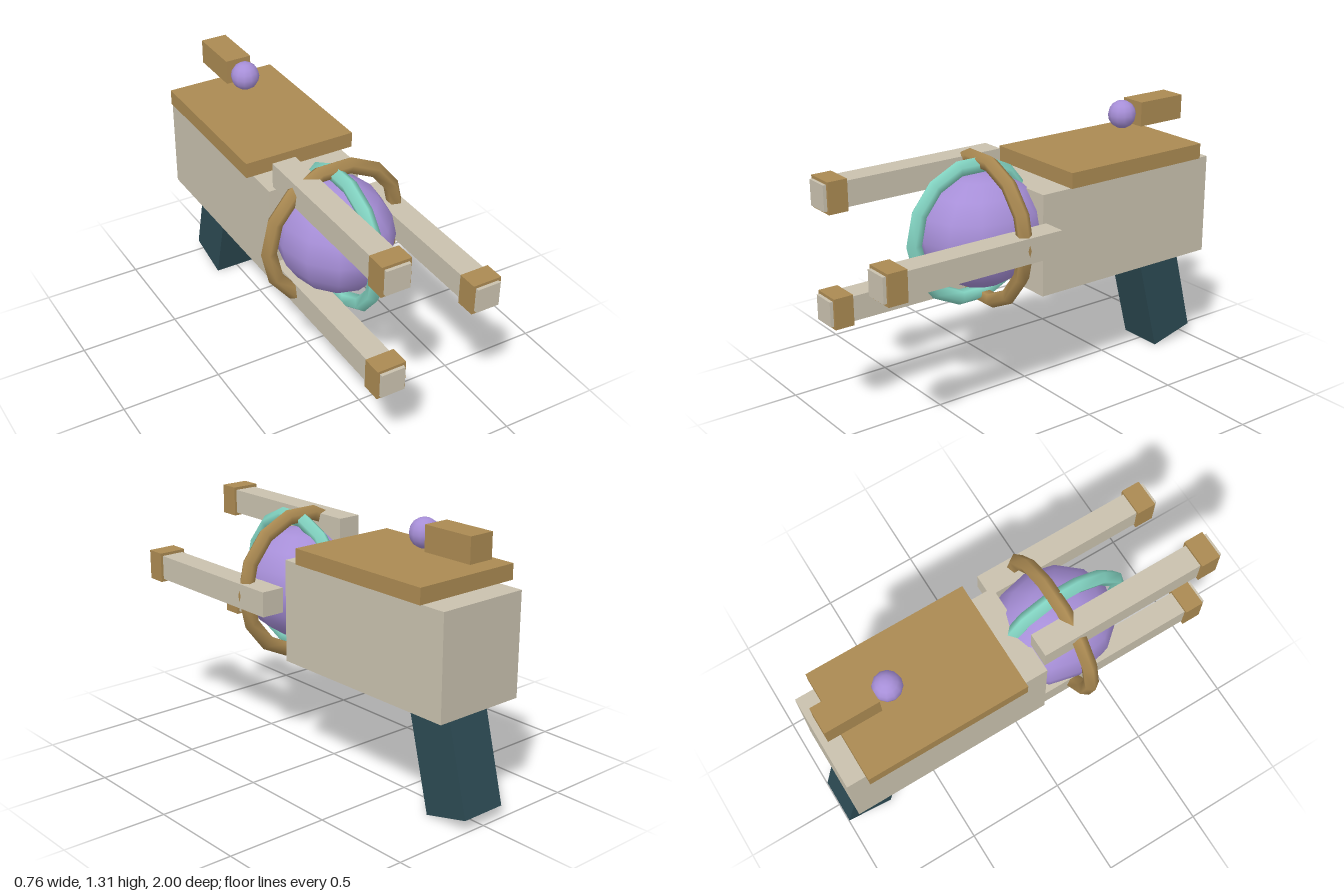
import * as THREE from 'three';

const mat = (name, color) => {
  const m = new THREE.MeshStandardMaterial({ color });
  m.name = name;
  return m;
};

export function createModel() {
  const beige = mat('beige', 0xc9c1ae);
  const bronze = mat('bronze', 0xab8a52);
  const purple = mat('purple', 0xa78fd8);
  const mint = mat('mint', 0x84d6c4);
  const slate = mat('slate', 0x2c4a53);

  const model = new THREE.Group();
  model.name = 'blaster';

  const add = (name, geometry, material, x, y, z, parent = model) => {
    const mesh = new THREE.Mesh(geometry, material);
    mesh.name = name;
    mesh.position.set(x, y, z);
    parent.add(mesh);
    return mesh;
  };
  const box = (w, h, d) => new THREE.BoxGeometry(w, h, d);

  // Body, raised top plate and tilted grip
  add('body', box(0.47, 0.495, 1.023), beige, 0, 0.772, -0.441);
  add('topPlate', box(0.56, 0.075, 0.8), bronze, 0, 1.072, -0.46);
  const grip = add('grip', box(0.23, 0.6, 0.24), slate, 0, 0.32, -0.808);
  grip.rotation.x = 0.25;

  // Rear sight with its bead
  add('sight', box(0.13, 0.12, 0.265), bronze, 0, 1.24, -0.795);
  add('sightBead', new THREE.SphereGeometry(0.069, 12, 8), purple, 0, 1.24, -0.595);

  // Energy core, slightly long in z, and the two rings around it
  const axisY = 0.83;
  const core = add('core', new THREE.SphereGeometry(0.27, 12, 8), purple, 0, axisY, 0.25);
  core.scale.z = 1.16;
  add('crossRing', new THREE.TorusGeometry(0.339, 0.038, 5, 14), bronze, 0, axisY, 0.248);
  const longRing = add('lengthwiseRing', new THREE.TorusGeometry(0.318, 0.038, 5, 14), mint, 0, axisY, 0.3);
  longRing.rotation.y = -Math.PI / 2;

  // Three prongs evenly spaced around the core, each with a collar near the tip
  for (let i = 0; i < 3; i++) {
    const a = (i * Math.PI * 2) / 3;
    const prong = new THREE.Group();
    prong.name = 'prong' + (i + 1);
    prong.position.set(0.312 * Math.cos(a), axisY + 0.312 * Math.sin(a), 0);
    add('prongRod', box(0.117, 0.12, 0.932), beige, 0, 0, 0.534, prong);
    add('prongCollar', box(0.142, 0.148, 0.096), bronze, 0, 0, 0.936, prong);
    model.add(prong);
  }

  return model;
}
